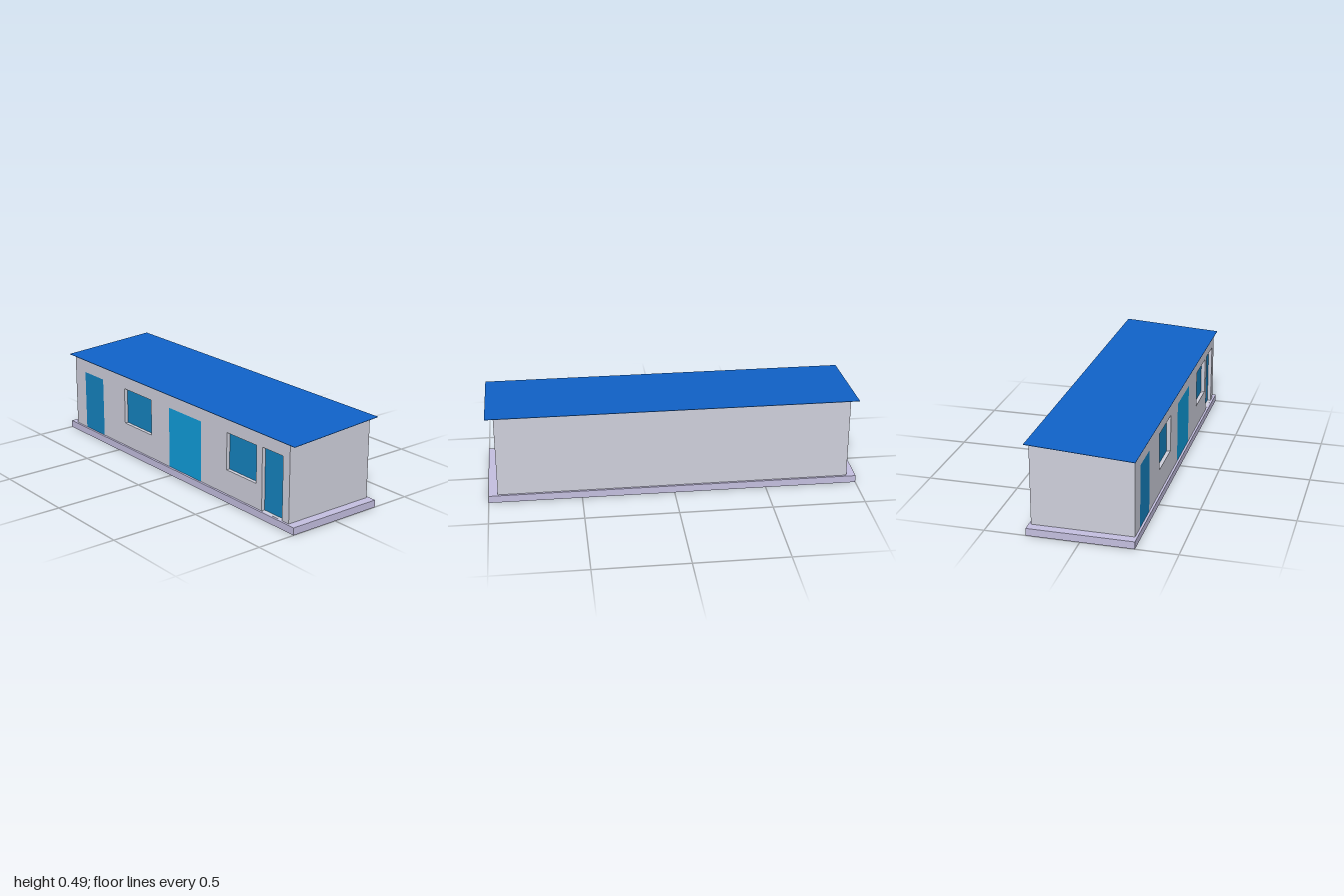
import * as THREE from 'three';

const BASE_TOP = 0.04, WALL_X = 0.95, WALL_Z = 0.268;
const ROOF_X = 0.995, ROOF_Z = 0.28, EAVE_FRONT = 0.458, EAVE_BACK = 0.491;
const roofY = z => THREE.MathUtils.mapLinear(z, ROOF_Z, -ROOF_Z, EAVE_FRONT, EAVE_BACK);

const paint = color => new THREE.MeshStandardMaterial({ color, side: THREE.DoubleSide, flatShading: true });
const wallPaint = paint(0xcfd0dc), basePaint = paint(0xc4bfe0), roofPaint = paint(0x1062c8);
const glassPaint = paint(0x1583c0), doorPaint = paint(0x0f9ddb);

// name, x range, y range, depth of recess, splay of the left jamb, material
const openings = [
  ['rightDoor', -0.85, -0.665, BASE_TOP, 0.38, 0, 0, glassPaint],
  ['rightWindow', -0.45, -0.195, 0.175, 0.38, 0.02, 0.013, glassPaint],
  ['mainDoor', -0.03, 0.25, BASE_TOP, 0.38, 0, 0, doorPaint],
  ['leftWindow', 0.465, 0.70, 0.175, 0.38, 0.02, 0.013, glassPaint],
  ['leftDoor', 0.745, 0.90, BASE_TOP, 0.383, 0.02, 0, glassPaint],
];

const rect = (x0, x1, y0, y1) => [[x0, y0], [x1, y0], [x1, y1], [x0, y1]];
const outline = (points, Type = THREE.Shape) => new Type(points.map(p => new THREE.Vector2(...p)));

function add(group, name, geometry, material) {
  const mesh = new THREE.Mesh(geometry, material);
  mesh.name = name;
  group.add(mesh);
  return mesh;
}

// Four-sided band joining an outer rectangle to a recessed inner one
function revealGeometry(outer, inner, depth) {
  const pos = [];
  for (let i = 0; i < 4; i++) {
    const j = (i + 1) % 4;
    const a = [...outer[i], 0], b = [...outer[j], 0];
    const c = [...inner[j], -depth], d = [...inner[i], -depth];
    pos.push(...a, ...b, ...c, ...a, ...c, ...d);
  }
  const g = new THREE.BufferGeometry();
  g.setAttribute('position', new THREE.Float32BufferAttribute(pos, 3));
  g.computeVertexNormals();
  return g;
}

export function createModel() {
  const model = new THREE.Group();
  model.name = 'longHut';

  // Foundation kerb, open in the middle
  const ring = outline(rect(-1, 1, -0.28, 0.28));
  ring.holes.push(outline(rect(-WALL_X, WALL_X, -WALL_Z, WALL_Z), THREE.Path));
  const kerb = new THREE.ExtrudeGeometry(ring, { depth: BASE_TOP, bevelEnabled: false });
  add(model, 'foundation', kerb.rotateX(-Math.PI / 2), basePaint);

  // Front wall with its openings cut out
  const front = outline(rect(-WALL_X, WALL_X, BASE_TOP, roofY(WALL_Z)));
  for (const [, x0, x1, y0, y1] of openings) {
    // keep door holes just inside the wall outline
    front.holes.push(outline(rect(x0, x1, Math.max(y0, BASE_TOP + 0.0005), y1), THREE.Path));
  }
  add(model, 'frontWall', new THREE.ShapeGeometry(front), wallPaint).position.z = WALL_Z;

  // Back wall, taller under the high eave
  const back = outline(rect(-WALL_X, WALL_X, BASE_TOP, roofY(-WALL_Z)));
  add(model, 'backWall', new THREE.ShapeGeometry(back).rotateY(Math.PI), wallPaint).position.z = -WALL_Z;

  // End walls with sloping tops
  const end = outline([[-WALL_Z, BASE_TOP], [WALL_Z, BASE_TOP], [WALL_Z, roofY(WALL_Z)], [-WALL_Z, roofY(-WALL_Z)]]);
  for (const [name, side] of [['leftWall', 1], ['rightWall', -1]]) {
    add(model, name, new THREE.ShapeGeometry(end).rotateY(-Math.PI / 2), wallPaint).position.x = side * WALL_X;
  }

  // Doors and windows, some set back in reveals
  for (const [name, x0, x1, y0, y1, depth, splay, material] of openings) {
    const part = new THREE.Group();
    part.name = name;
    part.position.z = WALL_Z;
    const inner = rect(x0, x1 - splay, y0, y1);
    add(part, name + 'Panel', new THREE.ShapeGeometry(outline(inner)), material).position.z = -depth;
    if (depth) add(part, name + 'Reveal', revealGeometry(rect(x0, x1, y0, y1), inner, depth), wallPaint);
    model.add(part);
  }

  // Thin single-pitch roof sheet
  const slope = Math.hypot(2 * ROOF_Z, EAVE_BACK - EAVE_FRONT);
  const roof = add(model, 'roof', new THREE.BoxGeometry(2 * ROOF_X, 0.002, slope), roofPaint);
  roof.position.y = (EAVE_FRONT + EAVE_BACK) / 2;
  roof.rotation.x = Math.atan2(EAVE_BACK - EAVE_FRONT, 2 * ROOF_Z);

  return model;
}
